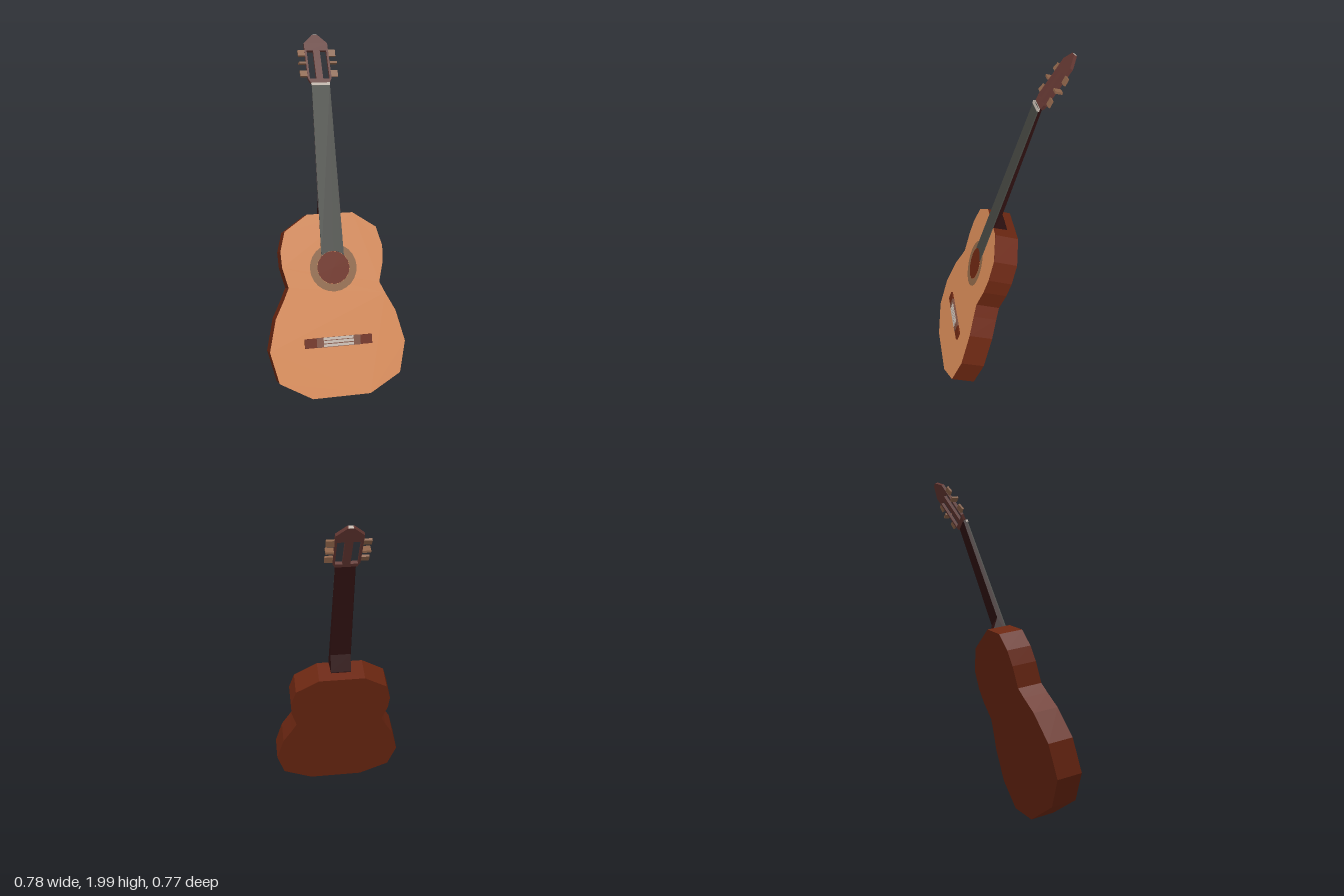
import * as THREE from 'three';

const mat = (name, color, side = THREE.FrontSide) => {
  const m = new THREE.MeshStandardMaterial({ color, side });
  m.name = name;
  return m;
};

// Closed symmetric shape from right-hand points listed bottom to top
const mirrored = (half) => new THREE.Shape(
  [...half, ...half.map(([x, y]) => [-x, y]).reverse()].map(([x, y]) => new THREE.Vector2(x, y)));

// Flat extrusion whose front face lies at z = front
const slab = (shape, depth, front) => new THREE.ExtrudeGeometry(shape,
  { depth, bevelEnabled: false, curveSegments: 16 }).translate(0, 0, front - depth);

export function createModel() {
  const rosewood = mat('rosewood', 0x6a2611);
  const spruce = mat('spruce', 0xd68a57);
  const ebony = mat('ebony', 0x454742);
  const neckWood = mat('neck wood', 0x2e1111);
  const headWood = mat('head wood', 0x613631);
  const inlay = mat('rosette inlay', 0x8e6646);
  const bone = mat('bone', 0xc2b6ac);
  const tunerWood = mat('tuner wood', 0x8c6349);
  const tieWood = mat('tie block wood', 0x7d5040);

  const model = new THREE.Group();
  model.name = 'guitar';
  const add = (parent, name, geometry, material, x = 0, y = 0, z = 0) => {
    const mesh = new THREE.Mesh(geometry, material);
    mesh.name = name;
    mesh.position.set(x, y, z);
    parent.add(mesh);
    return mesh;
  };

  // Leaning frame: y runs up the soundboard, z points out of it
  const lean = new THREE.Group();
  lean.name = 'bodyAndNeck';
  lean.position.set(0, 0.05, 0.383);
  lean.rotation.x = -0.331;
  model.add(lean);

  // Body: faceted outline, rosewood shell and spruce top
  const outline = mirrored([
    [0.165, 0], [0.345, 0.1], [0.388, 0.275], [0.345, 0.453], [0.292, 0.555], [0.262, 0.62],
    [0.291, 0.735], [0.295, 0.825], [0.265, 0.935], [0.132, 1.025],
  ]);
  add(lean, 'bodyShell', slab(outline, 0.137, 0), rosewood);
  add(lean, 'soundboard', new THREE.ShapeGeometry(outline), spruce, 0, 0, 0.001);

  // Sound hole and its ring
  const holeY = 0.718, holeR = 0.093;
  add(lean, 'rosette', new THREE.RingGeometry(holeR, 0.135, 24), inlay, 0, holeY, 0.003);
  add(lean, 'soundHole', new THREE.CircleGeometry(holeR, 16), rosewood, 0, holeY, 0.0035);

  // Fingerboard, tapering to the nut, with its lower end cut around the hole
  const halfWidth = (y) => 0.068 - 0.0153 * (y - 0.8);
  const nutY = 1.78;
  const a = 0.8;
  const board = new THREE.Shape();
  board.moveTo(halfWidth(nutY), nutY);
  board.lineTo(-halfWidth(nutY), nutY);
  board.lineTo(-Math.cos(a) * holeR, holeY + Math.sin(a) * holeR);
  board.absarc(0, holeY, holeR, Math.PI - a, a, true);
  board.closePath();
  add(lean, 'fingerboard', slab(board, 0.007, 0.007), ebony);
  add(lean, 'nut', new THREE.BoxGeometry(0.108, 0.016, 0.014), bone, 0, nutY - 0.008, 0.003);

  // Neck and heel: side profile, then tapered along its length and toward the back
  const profile = new THREE.Shape(
    [[0, 1.0], [0.088, 1.0], [0.082, 1.03], [0.024, 1.115], [0.017, nutY], [0, nutY]]
      .map(([d, y]) => new THREE.Vector2(d, y)));
  const neck = new THREE.ExtrudeGeometry(profile, { depth: 2, bevelEnabled: false })
    .translate(0, 0, -1).rotateY(Math.PI / 2);
  const p = neck.attributes.position;
  for (let i = 0; i < p.count; i++) {
    const narrow = p.getZ(i) < -0.01 ? 0.9 : 1;
    p.setX(i, p.getX(i) * halfWidth(p.getY(i)) * narrow);
  }
  neck.computeVertexNormals();
  add(lean, 'neck', neck, neckWood);

  // Bridge: wings, tie block and saddle strips
  const bridge = new THREE.Group();
  bridge.name = 'bridge';
  bridge.position.set(0, 0.305, 0);
  lean.add(bridge);
  add(bridge, 'bridgeBase', new THREE.BoxGeometry(0.385, 0.052, 0.012), rosewood, 0, 0, 0.006);
  add(bridge, 'tieBlock', new THREE.BoxGeometry(0.25, 0.054, 0.013), tieWood, 0, 0, 0.007);
  for (const y of [-0.017, 0.002, 0.02])
    add(bridge, 'saddleStrip', new THREE.BoxGeometry(0.172, 0.014, 0.006), bone, 0, y, 0.012);

  // Headstock, tilted further back, with two open slots
  const head = new THREE.Group();
  head.name = 'headstock';
  head.position.set(0, 1.735, -0.199);
  head.rotation.x = -0.583;
  model.add(head);
  const headShape = mirrored([[0.056, 0], [0.07, 0.03], [0.07, 0.26], [0.016, 0.317]]);
  for (const s of [-1, 1]) {
    headShape.holes.push(new THREE.Path(
      [[0.02, 0.026], [0.058, 0.026], [0.058, 0.21], [0.02, 0.21]]
        .map(([x, y]) => new THREE.Vector2(s * x, y))));
  }
  add(head, 'headPlate', slab(headShape, 0.018, 0), headWood);
  add(head, 'headTip', new THREE.BoxGeometry(0.024, 0.002, 0.016), bone, 0, 0.317, -0.009);

  // Tuning buttons, the middle one of each side turned edge-on
  for (const s of [-1, 1]) {
    [0.062, 0.133, 0.197].forEach((y, i) => {
      const button = add(head, 'tuningButton', new THREE.BoxGeometry(0.042, 0.04, 0.012),
        tunerWood, s * 0.09, y, -0.009);
      button.rotation.x = i === 1 ? 1.9 : 0.12 * s;
    });
  }
  return model;
}
